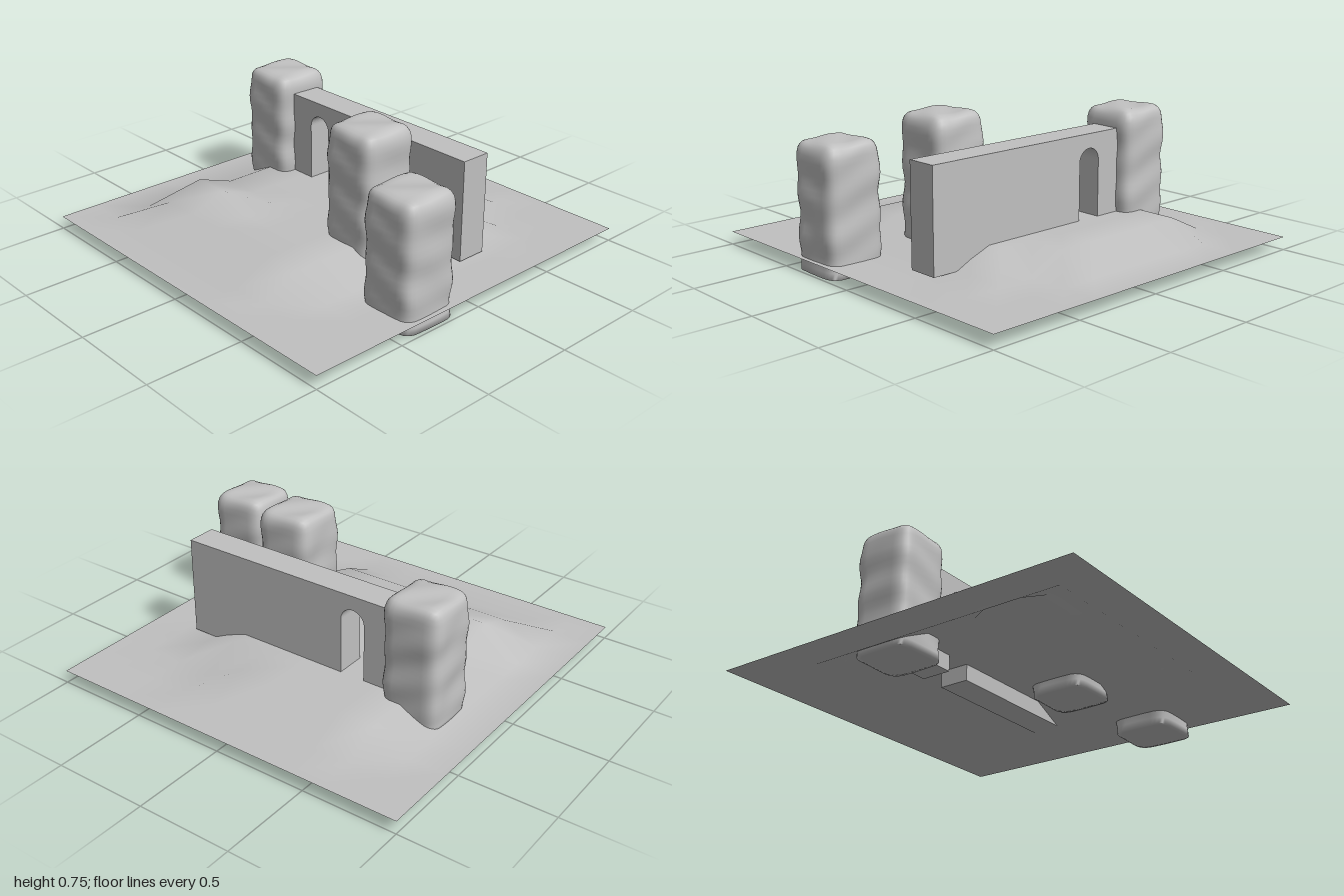
import * as THREE from 'three';
import { mergeVertices } from 'three/addons/utils/BufferGeometryUtils.js';

const stone = new THREE.MeshStandardMaterial({ color: 0xc0c0c0, side: THREE.DoubleSide });
stone.name = 'grey stone';

function add(group, name, geometry, x = 0, y = 0, z = 0) {
  const mesh = new THREE.Mesh(geometry, stone);
  mesh.name = name;
  mesh.position.set(x, y, z);
  group.add(mesh);
  return mesh;
}

// Height of the terrain at a grid point: low rim, flat plateau, one small hill
function groundHeight(x, z) {
  const near = (a, b) => Math.abs(a - b) < 0.01;
  if (near(z, 0.4) && (near(x, -0.6) || near(x, -0.4))) return 0.235;
  if (near(x, 0.6) && near(z, -0.4)) return 0.09;
  if (near(x, 0.4) && near(z, -0.6)) return 0.07;
  return x > -0.61 && x < 0.41 && Math.abs(z) < 0.61 ? 0.165 : 0.07;
}

function groundGeometry() {
  const geo = new THREE.PlaneGeometry(2, 2, 10, 10).rotateX(-Math.PI / 2);
  const p = geo.attributes.position;
  for (let i = 0; i < p.count; i++) p.setY(i, groundHeight(p.getX(i), p.getZ(i)));
  geo.computeVertexNormals();
  return geo;
}

// Weathered block: rounded upright edges and top, flat base, gentle lumps
function pillarGeometry(w, h, d, r) {
  let geo = new THREE.BoxGeometry(w, h, d, 12, 20, 12).translate(0, h / 2, 0);
  geo.deleteAttribute('uv');
  geo.deleteAttribute('normal');
  geo = mergeVertices(geo);
  const p = geo.attributes.position;
  const v = new THREE.Vector3(), core = new THREE.Vector3();
  const min = new THREE.Vector3(r - w / 2, 0, r - d / 2);
  const max = new THREE.Vector3(w / 2 - r, h - r, d / 2 - r);
  for (let i = 0; i < p.count; i++) {
    v.fromBufferAttribute(p, i);
    core.copy(v).clamp(min, max);
    v.sub(core);
    const len = v.length();
    if (len > 0) v.multiplyScalar(Math.max(Math.abs(v.x), Math.abs(v.y), Math.abs(v.z)) / len);
    v.add(core);
    const lump = 1 + 0.022 * Math.sin(v.y * 33 + v.x * 14) + 0.016 * Math.sin(v.y * 21 - v.z * 19 + 1);
    p.setXYZ(i, v.x * lump, v.y + (v.y / h) * 0.004 * Math.sin(v.x * 28 + v.z * 23), v.z * lump);
  }
  geo.computeVertexNormals();
  return geo;
}

// Wall outline with an arched doorway open at the foot
function wallGeometry() {
  const x0 = -0.77, x1 = 0.74, y0 = 0.08, y1 = 0.605;
  const doorL = -0.345, doorR = -0.21, r = (doorR - doorL) / 2, spring = 0.53 - r;
  const s = new THREE.Shape();
  s.moveTo(x0, y0);
  s.lineTo(doorL, y0);
  s.lineTo(doorL, spring);
  s.absarc(doorL + r, spring, r, Math.PI, 0, true);
  s.lineTo(doorR, y0);
  s.lineTo(x1, y0);
  s.lineTo(x1, y1);
  s.lineTo(x0, y1);
  s.closePath();
  return new THREE.ExtrudeGeometry(s, { depth: 0.16, bevelEnabled: false, curveSegments: 12 });
}

export function createModel() {
  const model = new THREE.Group();
  model.name = 'ruin';

  add(model, 'ground', groundGeometry());
  add(model, 'archedWall', wallGeometry(), 0, 0, -0.315);

  // Three standing stones share one shape
  const stones = [['rightPillar', -0.637, 0.055, -0.23], ['middlePillar', 0.347, 0.107, 0.083], ['leftPillar', 0.823, 0.003, 0.288]];
  const pillar = pillarGeometry(0.308, 0.643, 0.312, 0.06);
  for (const [name, x, y, z] of stones) add(model, name, pillar, x, y, z);

  // Tiny pebbles at the middle of the plateau
  for (const [i, x] of [-0.02, 0.008].entries()) {
    add(model, 'pebble' + (i + 1), new THREE.IcosahedronGeometry(0.007, 1), x, 0.18, 0);
  }
  return model;
}
